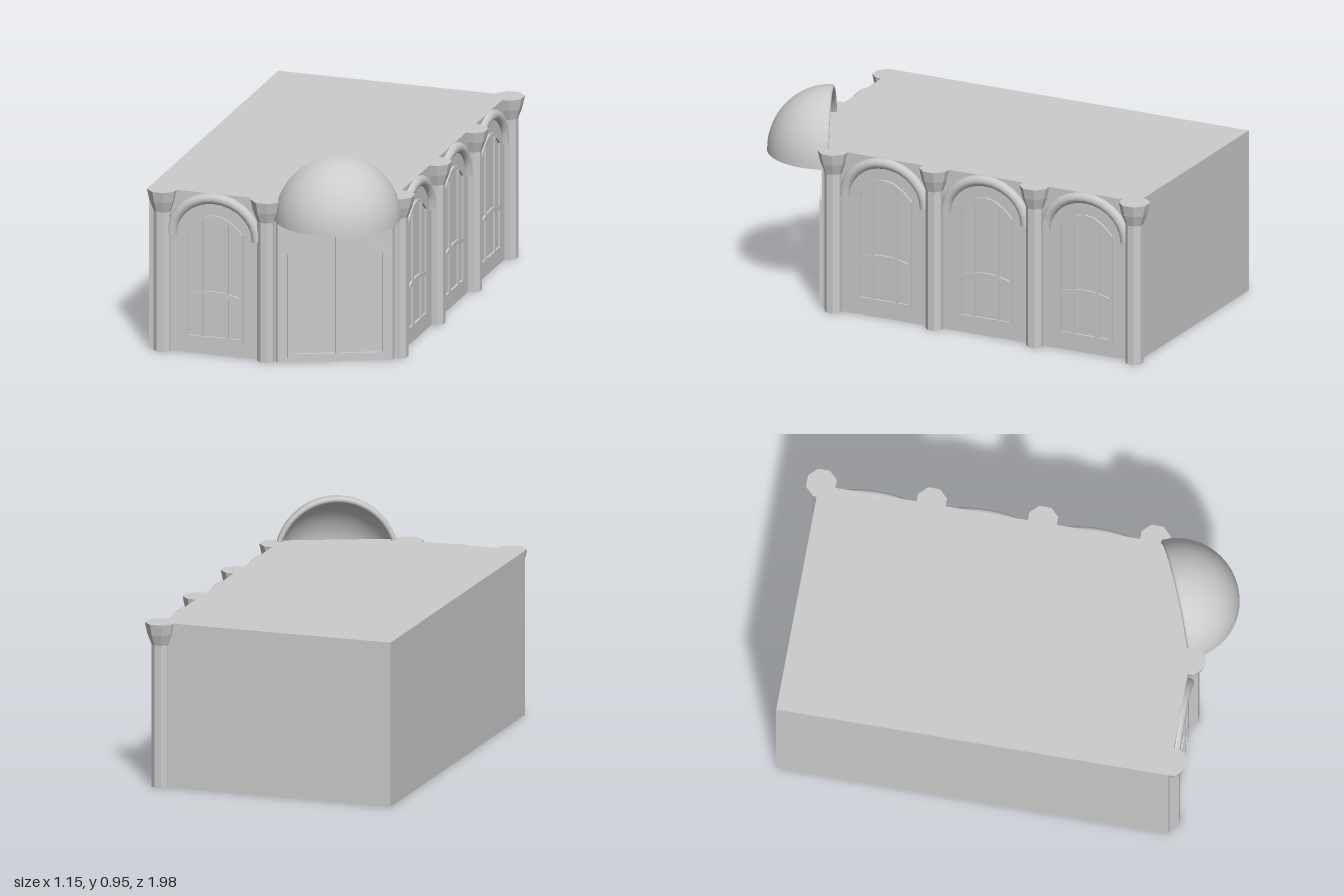
import * as THREE from 'three';

const grey = new THREE.MeshStandardMaterial({ color: 0xcccccc, side: THREE.DoubleSide });
const flat = new THREE.MeshStandardMaterial({ color: 0xcccccc, flatShading: true });

function add(parent, name, geometry, material = flat) {
  const mesh = new THREE.Mesh(geometry, material);
  mesh.name = name;
  parent.add(mesh);
  return mesh;
}

// Outline between two curves y = low(x) and y = high(x)
function panel(x0, x1, low, high, Type = THREE.Path, steps = 4) {
  const pts = [];
  for (let i = 0; i <= steps; i++) {
    const x = x0 + (x1 - x0) * i / steps;
    pts.push(new THREE.Vector2(x, low(x)));
  }
  for (let i = steps; i >= 0; i--) {
    const x = x0 + (x1 - x0) * i / steps;
    pts.push(new THREE.Vector2(x, high(x)));
  }
  return new Type(pts);
}

const extrude = (shape, depth) => new THREE.ExtrudeGeometry(shape, { depth, bevelEnabled: false });

// Arched window frame with six panes
function windowFrame() {
  const top = x => 0.65 - 0.08 * (x / 0.135) ** 2;
  const rail = x => 0.28 - 0.025 * (x / 0.135) ** 2;
  const frame = panel(-0.135, 0.135, () => 0.07, top, THREE.Shape, 6);
  for (const [a, b] of [[-0.12, -0.067], [-0.053, 0.053], [0.067, 0.12]]) {
    frame.holes.push(panel(a, b, () => 0.085, x => rail(x) - 0.002));
    frame.holes.push(panel(a, b, x => rail(x) + 0.016, x => top(x) - 0.017));
  }
  return extrude(frame, 0.01);
}

// Half-ellipse moulding over a bay
function archMoulding() {
  const pts = [];
  for (let i = 0; i <= 12; i++) {
    const a = Math.PI * i / 12;
    pts.push(new THREE.Vector3(-0.2 * Math.cos(a), 0.55 + 0.178 * Math.sin(a), 0));
  }
  return new THREE.TubeGeometry(new THREE.CatmullRomCurve3(pts), 14, 0.025, 10);
}

// Octagonal column with flared capital
function columnGeometry() {
  const k = 1 / Math.cos(Math.PI / 8);
  const profile = [[0, 0], [0.0375, 0], [0.0375, 0.65], [0.055, 0.7], [0.065, 0.75], [0, 0.75]]
    .map(([r, y]) => new THREE.Vector2(r * k, y));
  return new THREE.LatheGeometry(profile, 8, Math.PI / 8);
}

// Pointed double door frame
function doorFrame() {
  const top = x => {
    const d = Math.abs(x);
    return d < 0.013 ? 0.64 : d < 0.12 ? 0.64 - (d - 0.013) * 0.5 : 0.5865 - (d - 0.12) * 0.8;
  };
  const frame = panel(-0.226, 0.226, () => 0.02, top, THREE.Shape, 24);
  for (const [a, b] of [[-0.196, -0.013], [0.013, 0.196]]) {
    frame.holes.push(panel(a, b, () => 0.04, x => top(x) - 0.022, THREE.Path, 12));
  }
  return extrude(frame, 0.012);
}

// Hollow quarter-sphere canopy, open to the back
function canopy() {
  const group = new THREE.Group();
  group.name = 'domeCanopy';
  const R = 0.28, H = 0.29, T = 0.025;
  const arc = (r, h) => Array.from({ length: 17 }, (_, i) => {
    const a = Math.PI / 2 * i / 16;
    return new THREE.Vector2(r * Math.cos(a), h * Math.sin(a));
  });
  add(group, 'domeOuter', new THREE.LatheGeometry(arc(R, H), 24, -Math.PI / 2, Math.PI), grey);
  add(group, 'domeInner',
    new THREE.LatheGeometry(arc(R - T, H - T).reverse(), 24, -Math.PI / 2, Math.PI), grey);
  const base = add(group, 'domeBaseRim', new THREE.RingGeometry(R - T, R, 24, 1, 0, Math.PI), grey);
  base.rotation.x = Math.PI / 2;
  const rim = add(group, 'domeBackRim',
    new THREE.TorusGeometry(R - T / 2, T / 2, 10, 32, Math.PI), grey);
  rim.scale.y = H / R;
  return group;
}

export function createModel() {
  const model = new THREE.Group();
  model.name = 'pavilion';

  // Main block with a chamfered entrance corner
  const plan = [[-0.575, 0.82], [0.02, 0.82], [0.03, 0.83], [0.5, 0.628], [0.5, -0.945], [-0.575, -0.945]];
  const block = extrude(new THREE.Shape(plan.map(([x, z]) => new THREE.Vector2(x, -z))), 0.75);
  block.rotateX(-Math.PI / 2);
  add(model, 'buildingBlock', block);

  // Columns
  const column = columnGeometry();
  for (const [x, z] of [[-0.51, 0.82], [-0.025, 0.82], [0.51, 0.565], [0.51, 0.06], [0.51, -0.44], [0.51, -0.935]]) {
    add(model, 'column', column).position.set(x, 0, z);
  }

  // Arched bays: one in front, three along the left side
  const frame = windowFrame(), arch = archMoulding();
  const bays = [[-0.267, 0.82, 0], ...[0.3125, -0.19, -0.6875].map(z => [0.5, z, Math.PI / 2])];
  for (const [x, z, turn] of bays) {
    const bay = new THREE.Group();
    bay.name = 'windowBay';
    bay.position.set(x, 0, z);
    bay.rotation.y = turn;
    add(bay, 'windowFrame', frame);
    add(bay, 'archMoulding', arch, grey);
    model.add(bay);
  }

  // Corner door and the canopy above it
  const turn = Math.atan2(0.202, 0.47);
  const door = add(model, 'doorFrame', doorFrame());
  door.position.set(0.2775, 0, 0.7236);
  door.rotation.y = turn;
  const dome = canopy();
  dome.position.set(0.27, 0.66, 0.705);
  dome.rotation.y = turn;
  model.add(dome);

  return model;
}
